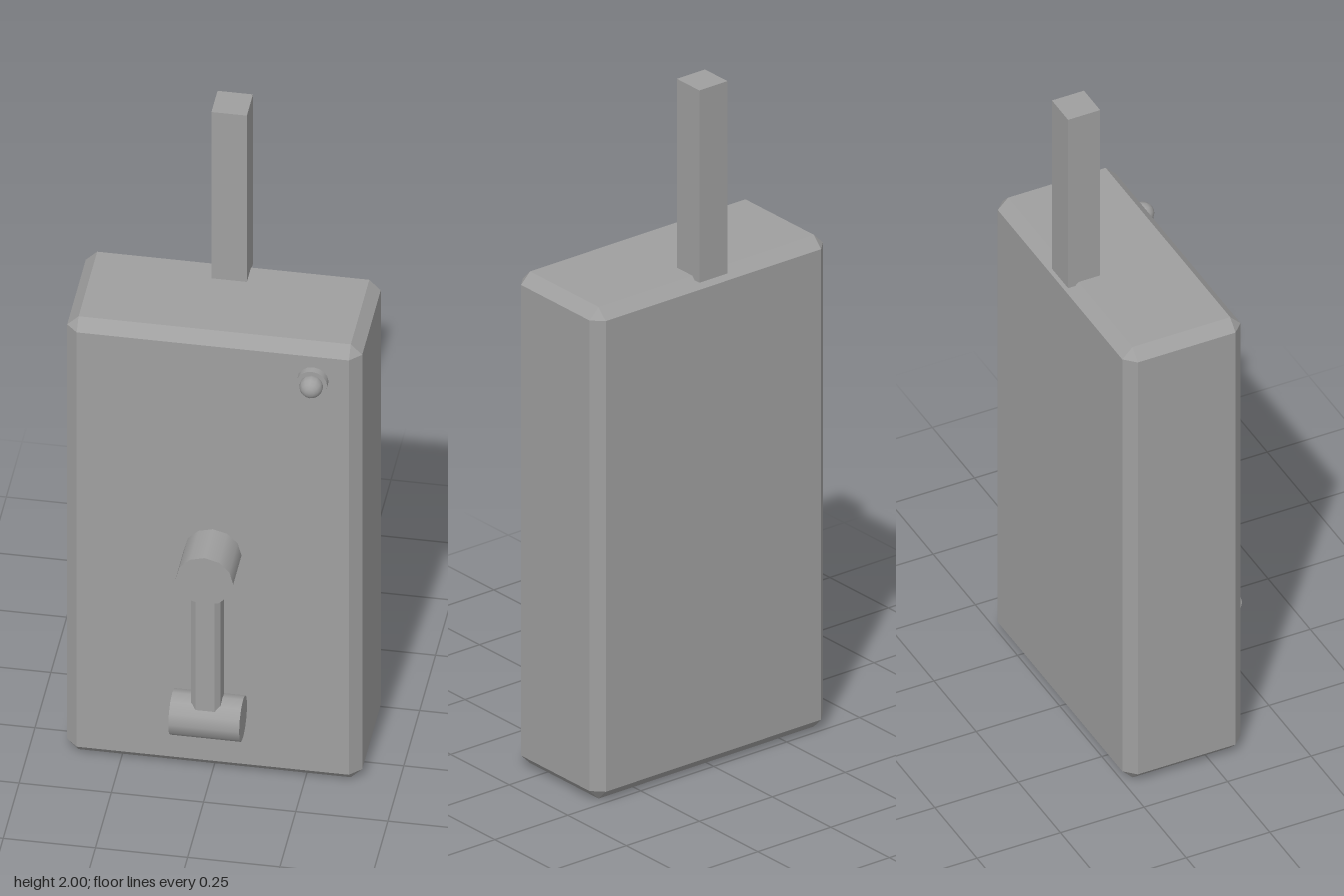
import * as THREE from 'three';
import { ConvexGeometry } from 'three/addons/geometries/ConvexGeometry.js';

// Box with every edge chamfered by b
function chamferedBox(w, h, d, b) {
  const points = [];
  for (const x of [-w / 2, w / 2])
    for (const y of [-h / 2, h / 2])
      for (const z of [-d / 2, d / 2]) {
        const ix = x - Math.sign(x) * b, iy = y - Math.sign(y) * b, iz = z - Math.sign(z) * b;
        points.push(new THREE.Vector3(x, iy, iz), new THREE.Vector3(ix, y, iz), new THREE.Vector3(ix, iy, z));
      }
  return new ConvexGeometry(points);
}

// Upright bar with chamfered long edges, centred on the origin
function chamferedBar(w, d, h, b) {
  const x = w / 2, y = d / 2;
  const outline = [[x, y - b], [x - b, y], [b - x, y], [-x, y - b], [-x, b - y], [b - x, -y], [x - b, -y], [x, b - y]];
  const shape = new THREE.Shape(outline.map(([px, py]) => new THREE.Vector2(px, py)));
  return new THREE.ExtrudeGeometry(shape, { depth: h, bevelEnabled: false })
    .translate(0, 0, -h / 2).rotateX(-Math.PI / 2);
}

export function createModel() {
  const model = new THREE.Group();
  const grey = new THREE.MeshStandardMaterial({ color: 0x9f9f9f });
  grey.name = 'grey';

  const add = (name, geometry, x, y, z) => {
    const mesh = new THREE.Mesh(geometry, grey);
    mesh.name = name;
    mesh.position.set(x, y, z);
    model.add(mesh);
  };

  // Case and the square post behind its top
  add('case', chamferedBox(0.8, 1.445, 0.354, 0.031), 0, 0.7225, -0.072);
  add('post', new THREE.BoxGeometry(0.096, 0.565, 0.096), 0, 1.7175, -0.201);

  // Crank: hub, arm and cross grip
  add('crankHub', new THREE.CylinderGeometry(0.078, 0.078, 0.14, 12).rotateX(Math.PI / 2), 0, 0.726, 0.166);
  add('crankArm', chamferedBar(0.08, 0.08, 0.4, 0.014), 0, 0.475, 0.187);
  add('crankGrip', new THREE.CylinderGeometry(0.063, 0.063, 0.192, 12).rotateZ(Math.PI / 2), 0, 0.243, 0.185);

  // Indicator lamp: collar and dome
  add('lampCollar', new THREE.CylinderGeometry(0.042, 0.042, 0.03, 16).rotateX(Math.PI / 2), 0.272, 1.337, 0.111);
  add('lampDome', new THREE.SphereGeometry(0.032, 12, 8).rotateX(Math.PI / 2), 0.272, 1.337, 0.135);

  return model;
}
